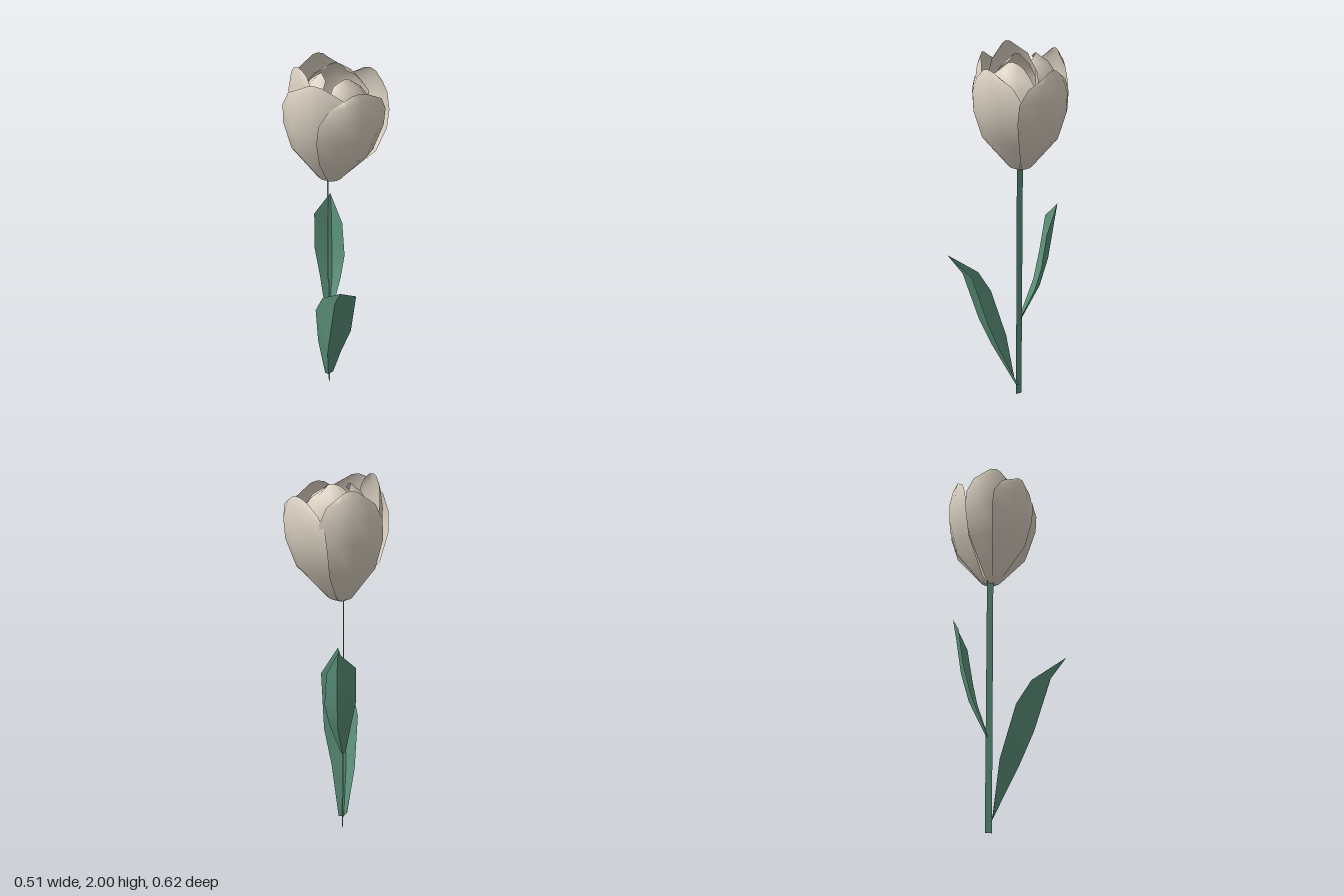
import * as THREE from 'three';
import { mergeVertices } from 'three/addons/utils/BufferGeometryUtils.js';

const petalMaterial = new THREE.MeshStandardMaterial({ color: 0xdbd1c2, side: THREE.DoubleSide });
petalMaterial.name = 'cream petal';
const greenMaterial = new THREE.MeshStandardMaterial({ color: 0x5c917b, side: THREE.DoubleSide });
greenMaterial.name = 'leaf green';

// Skin a grid of points given row by row from bottom to top
function skin(rows) {
  const cols = rows[0].length, index = [];
  for (let r = 0; r < rows.length - 1; r++) {
    for (let c = 0; c < cols - 1; c++) {
      const a = r * cols + c, d = a + cols;
      index.push(a, a + 1, d, a + 1, d + 1, d);
    }
  }
  const geometry = new THREE.BufferGeometry();
  geometry.setAttribute('position', new THREE.Float32BufferAttribute(rows.flat(2), 3));
  geometry.setIndex(index);
  const welded = mergeVertices(geometry);
  welded.computeVertexNormals();
  return welded;
}

function addMesh(group, name, geometry, material) {
  const mesh = new THREE.Mesh(geometry, material);
  mesh.name = name;
  group.add(mesh);
}

// Petal cross-sections: [height fraction, radius, width fraction]
const outerProfile = [[0, 0, 0.8], [0.05, 0.06, 0.85], [0.35, 0.195, 0.97], [0.6, 0.236, 1], [0.78, 0.24, 0.96], [0.92, 0.225, 0.76], [1, 0.205, 0.38]];
const innerProfile = [[0, 0, 0.8], [0.05, 0.045, 0.85], [0.35, 0.15, 1], [0.6, 0.19, 1], [0.8, 0.178, 1], [0.93, 0.13, 0.88], [1, 0.07, 0.75]];

// A curved petal around the flower axis; angle 0 faces the front, 90 faces +x.
// Skew makes one side edge stand further out than the other.
function petal(profile, angle, half, top, scale, skew) {
  const base = 1.355, steps = 4;
  return skin(profile.map(([t, radius, width]) => {
    const row = [];
    for (let i = 0; i <= steps; i++) {
      const u = (i / steps) * 2 - 1;
      const a = THREE.MathUtils.degToRad(angle + u * half * width);
      const r = radius * scale * (1 + skew * u);
      const y = base + (top - base) * t - 0.03 * u * u * t * t;
      row.push([-0.026 + 0.018 * t + r * Math.sin(a), y, -0.085 + 0.01 * t + r * Math.cos(a)]);
    }
    return row;
  }));
}

// A leaf of two smooth halves creased along the midrib
function addLeaf(model, name, rows) {
  const leaf = new THREE.Group();
  leaf.name = name;
  for (const side of [0, 1]) {
    addMesh(leaf, name + 'Half', skin(rows.map((row) => row.slice(side, side + 2))), greenMaterial);
  }
  model.add(leaf);
}

export function createModel() {
  const model = new THREE.Group();
  model.name = 'tulip';

  // Flat stem
  const stem = new THREE.PlaneGeometry(0.034, 1.38);
  stem.rotateY(Math.PI / 2);
  stem.translate(-0.036, 0.69, -0.086);
  addMesh(model, 'stem', stem, greenMaterial);

  // Flower: loose outer petals around a closed inner bud
  const flower = new THREE.Group();
  flower.name = 'flower';
  model.add(flower);
  const outer = [
    ['frontPetal', 19, 51, 1.925, 1.05, 0.03],
    ['frontRightPetal', -40, 55, 1.965, 0.98, -0.04],
    ['leftPetal', 110, 47, 1.925, 1.08, -0.08],
    ['backPetal', 188, 42, 1.975, 1.0, 0.02],
    ['rightPetal', 272, 47, 2.0, 0.84, -0.13],
  ];
  for (const [name, ...shape] of outer) {
    addMesh(flower, name, petal(outerProfile, ...shape), petalMaterial);
  }
  const inner = [
    ['innerFrontPetal', 32, 62, 1.94, 1.04, 0],
    ['innerBackPetal', 154, 60, 1.975, 1.05, 0],
    ['innerRightPetal', 270, 54, 1.96, 0.85, 0],
  ];
  for (const [name, ...shape] of inner) {
    addMesh(flower, name, petal(innerProfile, ...shape), petalMaterial);
  }

  // Long front leaf: side edge, midrib, side edge
  addLeaf(model, 'frontLeaf', [
    [[-0.065, 0.08, -0.065], [-0.045, 0.06, -0.07], [-0.015, 0.07, -0.075]],
    [[-0.11, 0.35, -0.04], [-0.08, 0.33, 0.06], [0.005, 0.33, 0.045]],
    [[-0.139, 0.63, 0.038], [-0.085, 0.51, 0.135], [0.035, 0.52, 0.125]],
    [[-0.12, 0.77, 0.12], [-0.08, 0.8, 0.225], [0.037, 0.82, 0.215]],
    [[-0.073, 0.925, 0.31], [-0.073, 0.925, 0.31], [-0.073, 0.925, 0.31]],
  ]);

  // Shorter back leaf
  addLeaf(model, 'backLeaf', [
    [[-0.018, 0.5, -0.09], [-0.03, 0.48, -0.095], [-0.05, 0.49, -0.095]],
    [[0.047, 0.69, -0.14], [0.01, 0.69, -0.187], [-0.062, 0.7, -0.182]],
    [[0.075, 0.82, -0.163], [0.02, 0.85, -0.23], [-0.08, 0.86, -0.225]],
    [[0.07, 1.01, -0.195], [0.025, 1.04, -0.257], [-0.072, 1.06, -0.252]],
    [[0.024, 1.16, -0.277], [0.024, 1.16, -0.277], [0.024, 1.16, -0.277]],
  ]);

  return model;
}
